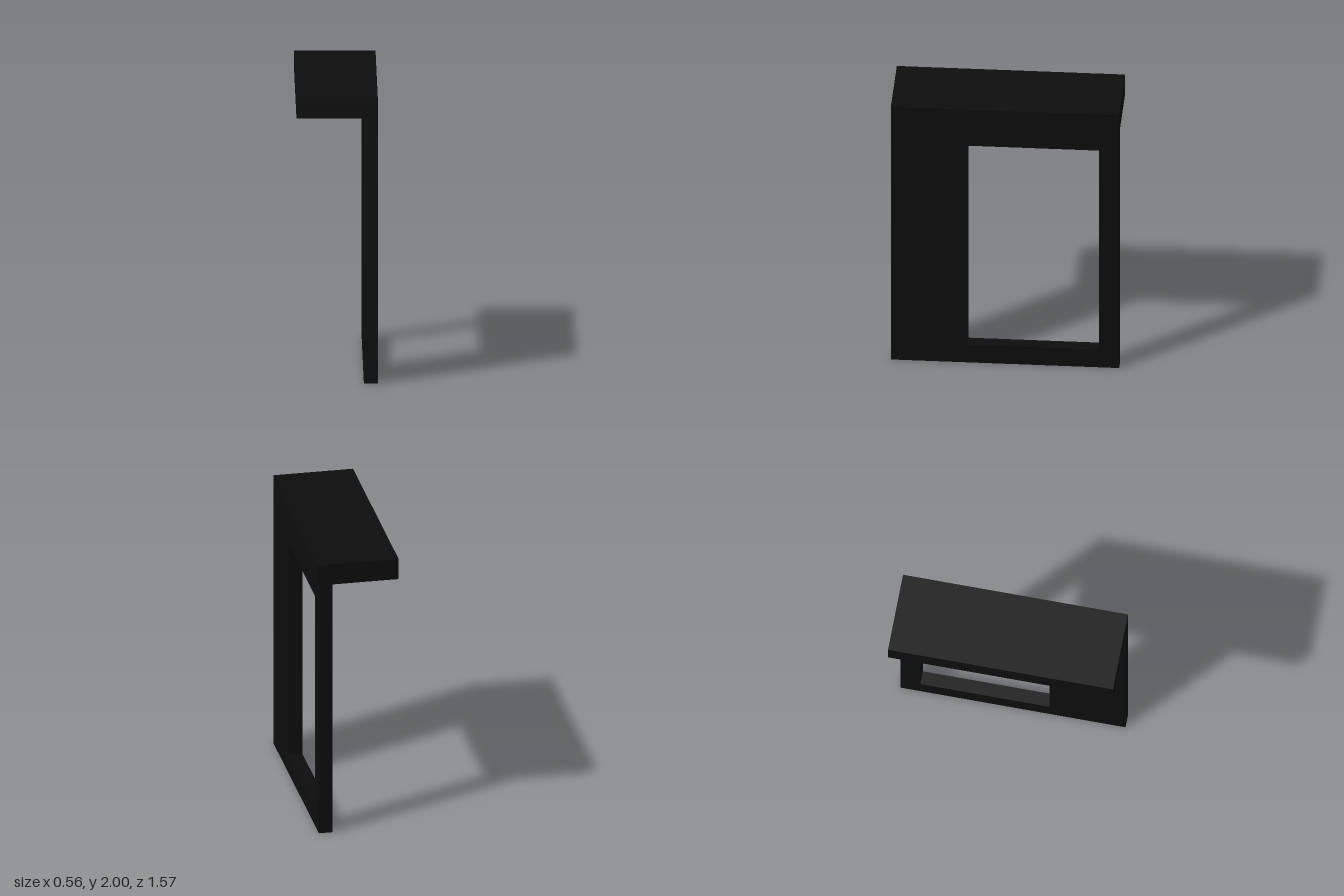
import * as THREE from 'three';

export function createModel() {
  const model = new THREE.Group();
  const black = new THREE.MeshStandardMaterial({ color: 0x0d0d0d });
  black.name = 'black';

  const outerX = 0.278, innerX = 0.183, halfLength = 0.783, height = 2;

  // Rectangle outline given by its (z, y) limits
  const rect = (path, z0, y0, z1, y1) => {
    path.moveTo(z0, y0);
    path.lineTo(z1, y0);
    path.lineTo(z1, y1);
    path.lineTo(z0, y1);
    path.closePath();
    return path;
  };

  // Upright wall panel with an off-centre opening
  const outline = rect(new THREE.Shape(), -halfLength, 0, halfLength, height);
  outline.holes.push(rect(new THREE.Path(), -0.645, 0.14, 0.256, 1.715));
  const wallGeometry = new THREE.ExtrudeGeometry(outline, { depth: outerX - innerX, bevelEnabled: false });
  wallGeometry.rotateY(-Math.PI / 2).translate(outerX, 0, 0);
  const wall = new THREE.Mesh(wallGeometry, black);
  wall.name = 'wallPanel';
  model.add(wall);

  // Overhanging top slab, flush with the top of the wall
  const slabWidth = innerX + outerX, slabHeight = 0.15;
  const slab = new THREE.Mesh(new THREE.BoxGeometry(slabWidth, slabHeight, halfLength * 2), black);
  slab.position.set(innerX - slabWidth / 2, height - slabHeight / 2, 0);
  slab.name = 'canopy';
  model.add(slab);

  return model;
}
